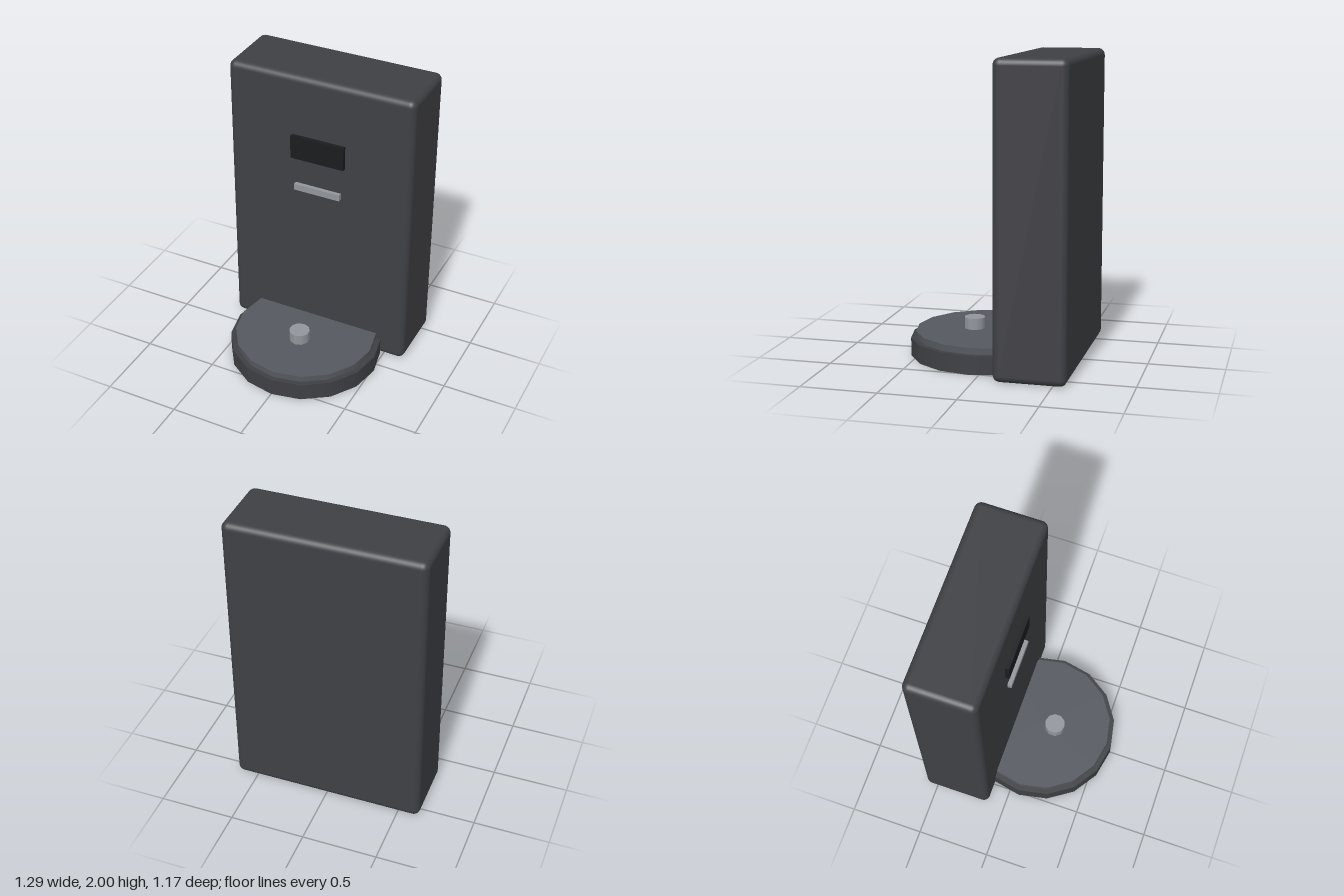
import * as THREE from 'three';
import { RoundedBoxGeometry } from 'three/addons/geometries/RoundedBoxGeometry.js';

const material = (color) => new THREE.MeshStandardMaterial({ color });

export function createModel() {
  const group = new THREE.Group();
  const dark = material(0x3f4044);
  const screen = material(0x1b1c1e);
  const grey = material(0x55585f);
  const metal = material(0x92969c);

  const add = (name, geometry, mat, x, y, z) => {
    const mesh = new THREE.Mesh(geometry, mat);
    mesh.name = name;
    mesh.position.set(x, y, z);
    group.add(mesh);
  };
  // Upright disc given by its bottom and top heights
  const disc = (name, radius, sides, bottom, top, z, mat) =>
    add(name, new THREE.CylinderGeometry(radius, radius, top - bottom, sides), mat, 0, (bottom + top) / 2, z);

  // Upright housing with softened edges
  add('body', new RoundedBoxGeometry(1.29, 2, 0.468, 4, 0.045), dark, 0, 1, -0.352);

  // Round foot with a raised plate and a central post
  disc('base', 0.516, 16, 0, 0.122, 0.069, dark);
  disc('basePlate', 0.482, 16, 0.1, 0.165, 0.069, grey);
  disc('post', 0.07, 10, 0.15, 0.24, 0.163, metal);

  // Display and the bar below it, set into the front face
  add('display', new THREE.BoxGeometry(0.376, 0.164, 0.06), screen, 0, 1.5, -0.12);
  add('bar', new THREE.BoxGeometry(0.326, 0.044, 0.06), metal, 0, 1.202, -0.12);

  return group;
}
